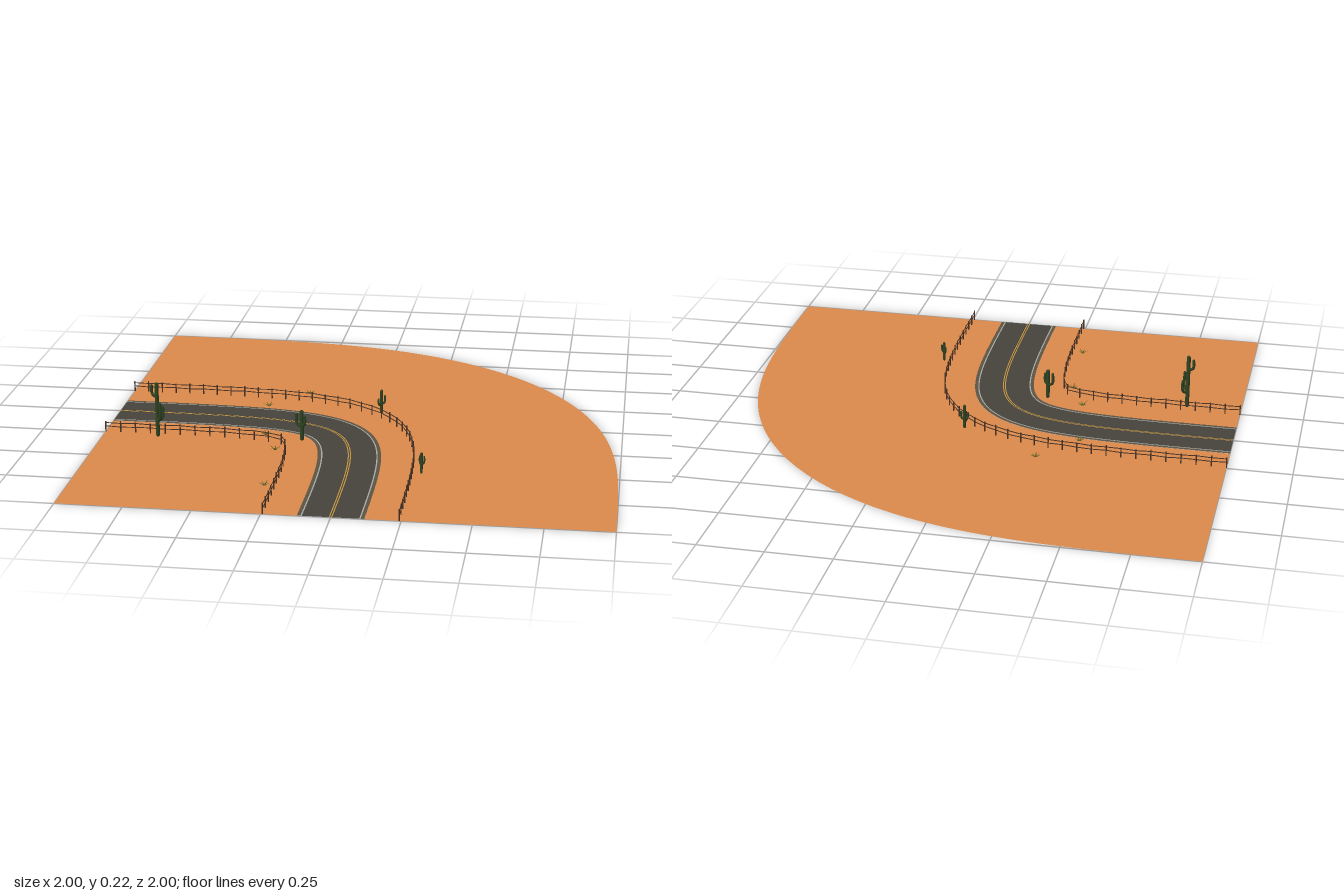
import * as THREE from 'three';
import { mergeGeometries } from 'three/addons/utils/BufferGeometryUtils.js';

const paint = (color) => new THREE.MeshStandardMaterial({ color, side: THREE.DoubleSide });
const SAND = paint(0xdb8a4c), ASPHALT = paint(0x46433d), SHOULDER = paint(0x5c5444);
const WHITE = paint(0xa9a9a4), YELLOW = paint(0xc8963c);
const WOOD = paint(0x4a3224), CACTUS = paint(0x2f4423), SHRUB = paint(0x6f6c26);
const STEPS = 64;

function addMesh(parent, name, geometry, material) {
  const mesh = new THREE.Mesh(geometry, material);
  mesh.name = name;
  parent.add(mesh);
  return mesh;
}

// Point on the road bend (a cubic curve), pushed sideways by d; positive d is the outer side
function bend(t, d, y = 0) {
  const u = 1 - t, len = Math.hypot(u * u, t * t);
  return new THREE.Vector3(-u * u * u + (d * t * t) / len, y, t * t * t - (d * u * u) / len);
}

// Flat ribbon that follows the bend between two offsets
function ribbon(inner, outer, y) {
  const pos = [], index = [];
  for (let i = 0; i <= STEPS; i++) {
    pos.push(...bend(i / STEPS, inner, y).toArray(), ...bend(i / STEPS, outer, y).toArray());
    if (i < STEPS) {
      const k = i * 2;
      index.push(k, k + 2, k + 1, k + 1, k + 2, k + 3);
    }
  }
  const g = new THREE.BufferGeometry();
  g.setAttribute('position', new THREE.Float32BufferAttribute(pos, 3));
  g.setIndex(index);
  g.computeVertexNormals();
  return g;
}

// Ground inside the bend: the curve closed by the square corner
function innerGround(d) {
  const pts = [new THREE.Vector2(-1, 1)];
  for (let i = 0; i <= STEPS; i++) {
    const p = bend(i / STEPS, d);
    pts.push(new THREE.Vector2(p.x, p.z));
  }
  return new THREE.ShapeGeometry(new THREE.Shape(pts)).rotateX(Math.PI / 2);
}

// Box bar from a to b
function bar(a, b, width, height) {
  const g = new THREE.BoxGeometry(width, height, a.distanceTo(b));
  const m = new THREE.Matrix4().lookAt(b, a, new THREE.Vector3(0, 1, 0));
  m.setPosition(a.clone().add(b).multiplyScalar(0.5));
  return g.applyMatrix4(m);
}

// Post-and-rail fence with slightly uneven rails
function makeFence(name, d) {
  const fence = new THREE.Group();
  fence.name = name;
  const path = new THREE.CatmullRomCurve3(
    Array.from({ length: STEPS + 1 }, (_, i) => bend(i / STEPS, d)));
  const spots = path.getSpacedPoints(Math.round(path.getLength() / 0.058));
  const posts = [], rails = [];
  const at = (i, y) => spots[i].clone().setY(y + 0.0015 * Math.sin(i * 2.3 + y * 90));
  spots.forEach((p, i) => {
    const h = 0.042 + 0.002 * Math.sin(i * 1.7);
    posts.push(new THREE.BoxGeometry(0.0045, h, 0.0045).translate(p.x, h / 2, p.z));
    if (i + 1 < spots.length) {
      for (const y of [0.021, 0.036]) rails.push(bar(at(i, y), at(i + 1, y), 0.002, 0.003));
    }
  });
  addMesh(fence, 'fencePosts', mergeGeometries(posts), WOOD);
  addMesh(fence, 'fenceRails', mergeGeometries(rails), WOOD);
  return fence;
}

// Columnar cactus; each arm is [angle, reach, start height, tip height] relative to h
function makeCactus(x, z, h, r, arms) {
  const cactus = new THREE.Group();
  cactus.name = 'cactus';
  cactus.position.set(x, 0, z);
  addMesh(cactus, 'trunk',
    new THREE.CapsuleGeometry(r, h - 2 * r, 3, 8).translate(0, h / 2, 0), CACTUS);
  for (const [angle, reach, low, high] of arms) {
    const ra = r * 0.72, top = high * h - ra, y = low * h;
    const curve = new THREE.CatmullRomCurve3([
      new THREE.Vector3(0, y, 0),
      new THREE.Vector3(reach * 0.65, y + 0.002, 0),
      new THREE.Vector3(reach, y + 0.012, 0),
      new THREE.Vector3(reach, top, 0),
    ]);
    const arm = addMesh(cactus, 'arm', mergeGeometries([
      new THREE.TubeGeometry(curve, 12, ra, 7),
      new THREE.SphereGeometry(ra, 7, 5).translate(reach, top, 0),
    ]), CACTUS);
    arm.rotation.y = angle;
  }
  return cactus;
}

// Low desert shrub: a star of pointed, rising leaves
function makeShrub(x, z, turn) {
  const leaves = [];
  for (let i = 0; i < 6; i++) {
    const reach = i % 2 ? 0.022 : 0.029;
    const leaf = new THREE.ConeGeometry(0.004, reach, 4);
    leaf.translate(0, reach / 2, 0).scale(1, 1, 0.5).rotateX(Math.PI / 2 - 0.5);
    leaves.push(leaf.rotateY(turn + (i * Math.PI) / 3));
  }
  const shrub = new THREE.Group();
  shrub.name = 'shrub';
  shrub.position.set(x, 0.001, z);
  addMesh(shrub, 'leaves', mergeGeometries(leaves), SHRUB);
  return shrub;
}

export function createModel() {
  const model = new THREE.Group();
  model.name = 'desertRoadBend';

  // Sandy ground on both sides of the road
  addMesh(model, 'outerGround', ribbon(0.12, 1, 0), SAND);
  addMesh(model, 'innerGround', innerGround(-0.12), SAND);

  // Road surface and markings as side-by-side strips
  const strips = [
    ['shoulder', 0.107, 0.12, SHOULDER],
    ['edgeLine', 0.102, 0.107, WHITE],
    ['lane', 0.006, 0.102, ASPHALT],
    ['centreLine', 0.002, 0.006, YELLOW],
  ];
  for (const [name, a, b, material] of strips) {
    addMesh(model, name + 'Outer', ribbon(a, b, 0.001), material);
    addMesh(model, name + 'Inner', ribbon(-b, -a, 0.001), material);
  }
  addMesh(model, 'centreGap', ribbon(-0.002, 0.002, 0.001), ASPHALT);

  model.add(makeFence('outerFence', 0.243), makeFence('innerFence', -0.243));

  // Cacti
  model.add(
    makeCactus(-0.785, 0.275, 0.222, 0.008,
      [[2.8, 0.022, 0.74, 0.95], [-0.9, 0.025, 0.32, 0.66], [0.7, 0.024, 0.3, 0.55]]),
    makeCactus(-0.225, 0.245, 0.125, 0.008,
      [[2.9, 0.021, 0.48, 0.9], [-0.6, 0.016, 0.5, 0.85]]),
    makeCactus(0.04, -0.108, 0.1, 0.006,
      [[0.3, 0.013, 0.4, 0.75], [-2.3, 0.016, 0.35, 0.65]]),
    makeCactus(0.27, 0.532, 0.083, 0.005,
      [[-0.3, 0.011, 0.45, 0.85], [2.2, 0.013, 0.4, 0.8]]),
  );

  // Shrubs
  [[-0.28, -0.305], [-0.42, -0.13], [-0.375, 0.2], [-0.31, 0.36], [-0.285, 0.73]]
    .forEach(([x, z], i) => model.add(makeShrub(x, z, i * 0.7)));

  return model;
}
